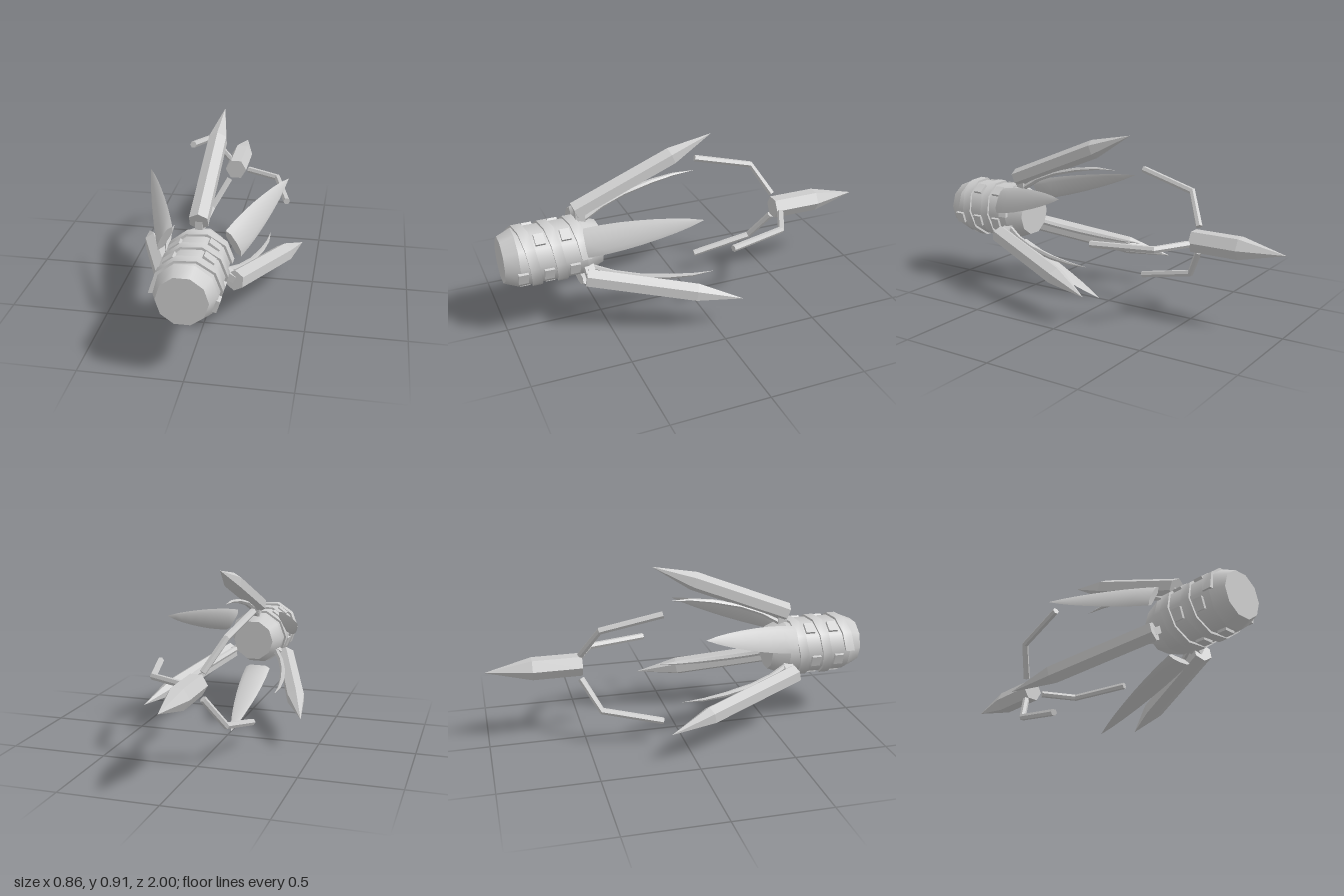
import * as THREE from 'three';
import { toCreasedNormals } from 'three/addons/utils/BufferGeometryUtils.js';

const RAD = Math.PI / 180;

// Skin a list of closed rings; both ends are capped unless the last ring is a point
function loft(rings, crease, pointed = false) {
  const n = rings[0].length, pos = [];
  const tri = (...ps) => ps.forEach(p => pos.push(p.x, p.y, p.z));
  const centre = ring => ring.reduce((s, p) => s.add(p), new THREE.Vector3()).divideScalar(n);
  const first = rings[0], last = rings[rings.length - 1];
  const c0 = centre(first), c1 = centre(last);
  for (let i = 0; i < n; i++) {
    const k = (i + 1) % n;
    for (let j = 0; j < rings.length - 1; j++) {
      const p = rings[j], q = rings[j + 1];
      tri(p[i], q[i], p[k]);
      if (!(pointed && j === rings.length - 2)) tri(p[k], q[i], q[k]);
    }
    tri(c0, first[i], first[k]);
    if (!pointed) tri(c1, last[k], last[i]);
  }
  const geo = new THREE.BufferGeometry();
  geo.setAttribute('position', new THREE.Float32BufferAttribute(pos, 3));
  geo.scale(100, 100, 100);
  const out = toCreasedNormals(geo, crease);
  out.scale(0.01, 0.01, 0.01);
  return out;
}

// Sweep a profile along stations [radius, z, halfWidth, halfThickness] in the y-z plane
function sweep(stations, profile, crease) {
  const rings = stations.map(([r, z, w, h], j) => {
    const a = stations[Math.max(j - 1, 0)], b = stations[Math.min(j + 1, stations.length - 1)];
    const len = Math.hypot(b[0] - a[0], b[1] - a[1]);
    const tr = (b[0] - a[0]) / len, tz = (b[1] - a[1]) / len;
    return profile.map(([u, v]) => new THREE.Vector3(u * w, r - tz * v * h, z + tr * v * h));
  });
  return loft(rings, crease, stations[stations.length - 1][2] === 0);
}

const hexagon = start => Array.from({ length: 6 }, (_, i) =>
  [Math.cos((start + i * 60) * RAD), Math.sin((start + i * 60) * RAD)]);

export function createModel() {
  const grey = new THREE.MeshStandardMaterial({ color: 0xcccccc });
  grey.name = 'plain grey';

  const model = new THREE.Group();
  model.name = 'clawDevice';
  const core = new THREE.Group();
  core.name = 'core';
  core.position.y = 0.42;
  model.add(core);

  const add = (parent, name, geo) => {
    const mesh = new THREE.Mesh(geo, grey);
    mesh.name = name;
    parent.add(mesh);
    return mesh;
  };
  // Repeat one part around the z axis at the given angles
  const around = (name, angles, geo) => angles.forEach(a => {
    add(core, name, geo).rotation.z = (a - 90) * RAD;
  });

  // Ten-sided barrel with bevelled ends
  const drum = (name, rFront, rBack, zFront, zBack) => {
    const geo = new THREE.CylinderGeometry(rFront, rBack, zFront - zBack, 10, 1, false, Math.PI / 2);
    geo.rotateX(Math.PI / 2).translate(0, 0, (zFront + zBack) / 2);
    add(core, name, geo);
  };
  drum('frontBevel', 0.12, 0.15, 1, 0.93);
  drum('barrel', 0.15, 0.15, 0.93, 0.59);
  drum('rearBevel', 0.15, 0.115, 0.59, 0.5);

  // Spiral ridge wound around the barrel
  const pitch = 0.13, ridge = [];
  for (let i = 0; i <= 25; i++) {
    const a = i * 36 * RAD, z = 0.6 + pitch * i / 10;
    ridge.push([[0.135, -0.025], [0.162, -0.025], [0.162, 0.025], [0.135, 0.025]].map(([r, dz]) =>
      new THREE.Vector3(Math.cos(a) * r, Math.sin(a) * r, z + dz)));
  }
  add(core, 'spiralRidge', loft(ridge, 0.7));

  // Small studs between the turns of the ridge
  for (let deg = -18; deg < 800; deg += 72) {
    const z = 0.6 + pitch * (deg / 360 + 0.5);
    if (z > 0.92) break;
    const stud = add(core, 'stud', new THREE.BoxGeometry(0.06, 0.03, 0.05));
    stud.position.set(Math.cos(deg * RAD) * 0.142, Math.sin(deg * RAD) * 0.142, z);
    stud.rotation.z = (deg - 90) * RAD;
  }

  // Three long hexagonal blades, with the pins and inner claws that go with them
  const bladeAngles = [90, 210, 330];
  const blade = t => [0.195 + 0.3 * t, 0.61 - 0.74 * t];
  around('blade', bladeAngles, sweep([
    [...blade(0), 0.05, 0.05], [...blade(0.7), 0.05, 0.05], [...blade(1), 0, 0],
  ], hexagon(30), 0.1));
  around('bladePin', bladeAngles, new THREE.BoxGeometry(0.036, 0.07, 0.05).translate(0, 0.165, 0.585));
  around('innerClaw', bladeAngles, sweep([
    [0.14, 0.57, 0.018, 0.014], [0.2, 0.47, 0.018, 0.014], [0.248, 0.35, 0.018, 0.014],
    [0.284, 0.2, 0.016, 0.012], [0.302, 0.08, 0.011, 0.008], [0.305, -0.04, 0, 0],
  ], hexagon(0), 0.5));

  // Three broad petals between the blades
  const leaf = [[1, 0], [0.66, 0.9], [0, 1.1], [-0.66, 0.9], [-1, 0], [-0.66, -0.9], [0.66, -0.9]];
  const petal = [[0, 0.073], [0.15, 0.073], [0.3, 0.069], [0.45, 0.061], [0.6, 0.05], [0.75, 0.036], [0.88, 0.02], [1, 0]]
    .map(([t, w]) => [0.187 + 0.228 * t, 0.605 - 0.545 * t, w, 0.018 * (1 - t)]);
  around('petal', [30, 150, 270], sweep(petal, leaf, 0.75));

  // Rear spike on the centre line
  add(core, 'rearSpike', sweep([
    [0, -0.505, 0.06, 0.06], [0, -0.76, 0.06, 0.06], [0, -1, 0, 0],
  ], hexagon(0), 0.1));

  // Three bent rods reaching forward around the spike
  around('bentRod', [0, 120, 240], sweep([
    [0.337, -0.11, 0.018, 0.018], [0.252, -0.425, 0.018, 0.018], [0.075, -0.515, 0.018, 0.018],
  ], hexagon(30), 0.1));

  return model;
}
